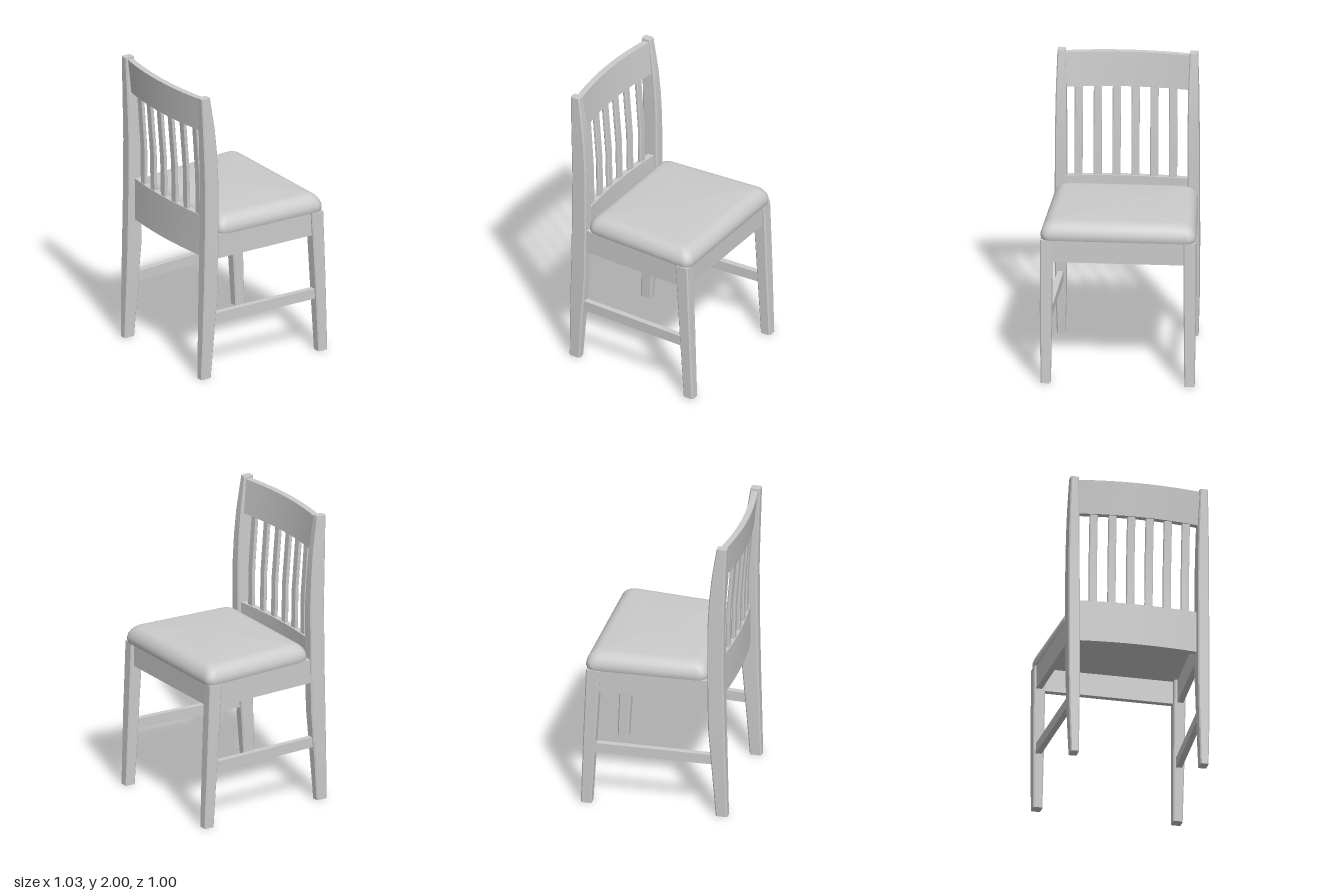
import * as THREE from 'three';
import { toCreasedNormals } from 'three/addons/utils/BufferGeometryUtils.js';

const grey = new THREE.MeshStandardMaterial({ color: 0xcccccc });

// Solid skinned over equal-length rings of [x, y, z], capped at both ends
function loft(rings, crease = 0.6) {
  const n = rings[0].length;
  const pts = rings.flat();
  const tris = [];
  for (let r = 0; r < rings.length - 1; r++) {
    for (let i = 0; i < n; i++) {
      const a = r * n + i, b = r * n + (i + 1) % n;
      tris.push([a, b, b + n], [a, b + n, a + n]);
    }
  }
  [0, rings.length - 1].forEach((r, end) => {
    const c = pts.length;
    pts.push([0, 1, 2].map((k) => rings[r].reduce((s, p) => s + p[k], 0) / n));
    for (let i = 0; i < n; i++) {
      const a = r * n + i, b = r * n + (i + 1) % n;
      tris.push(end ? [a, b, c] : [b, a, c]);
    }
  });
  // Turn the faces outward whatever the ring direction
  const v = pts.map((p) => new THREE.Vector3(...p));
  const volume = tris.reduce((s, [a, b, c]) => s + v[a].dot(v[b].clone().cross(v[c])), 0);
  if (volume < 0) tris.forEach((t) => t.reverse());
  const geo = new THREE.BufferGeometry();
  geo.setAttribute('position', new THREE.Float32BufferAttribute(pts.flat(), 3));
  geo.setIndex(tris.flat());
  return toCreasedNormals(geo, crease);
}

// Horizontal rectangle with small chamfered corners
function section(y, x0, x1, z0, z1, c = 0.008) {
  return [
    [x0 + c, y, z0], [x1 - c, y, z0], [x1, y, z0 + c], [x1, y, z1 - c],
    [x1 - c, y, z1], [x0 + c, y, z1], [x0, y, z1 - c], [x0, y, z0 + c],
  ];
}

export function createModel() {
  const chair = new THREE.Group();
  chair.name = 'chair';
  const add = (name, geo) => {
    const mesh = new THREE.Mesh(geo, grey);
    mesh.name = name;
    chair.add(mesh);
  };

  // Cushion: rounded trapezoid, domed over at the rim
  const outline = [];
  [[0.515, -0.48, -90], [0.475, 0.345, 0], [-0.475, 0.345, 90], [-0.515, -0.48, 180]].forEach(([x, z, start]) => {
    const r = 0.06;
    for (let i = 0; i <= 6; i++) {
      const a = THREE.MathUtils.degToRad(start + i * 15);
      outline.push([x - Math.sign(x) * r + r * Math.cos(a), z - Math.sign(z) * r + r * Math.sin(a)]);
    }
  });
  const seatRing = (inset, y) => outline.map(([x, z]) => [
    x * (1 - inset / 0.5), y, -0.067 + (z + 0.067) * (1 - inset / 0.412),
  ]);
  const seatRings = [seatRing(0.006, 1.0)];
  for (let i = 0; i <= 7; i++) {
    const a = (i / 7) * Math.PI / 2;
    seatRings.push(seatRing(0.09 * (1 - Math.cos(a)), 1.02 + 0.1 * Math.sin(a)));
  }
  add('seatCushion', loft(seatRings));

  // Curved back rails, swept across x; z is bowed toward the rear
  const rail = (y0, y1, zBottom, zTop, bow, depth) => {
    const rings = [];
    for (let i = 0; i <= 10; i++) {
      const x = -0.415 + 0.083 * i;
      const b = bow * (1 - (x / 0.415) ** 2);
      rings.push([
        [x, y0, zBottom + b], [x, y0, zBottom + depth + b],
        [x, y1, zTop + depth + b], [x, y1, zTop + b],
      ]);
    }
    return loft(rings);
  };
  add('lowerBackRail', rail(0.84, 1.13, 0.37, 0.37, 0.028, 0.042));
  add('topRail', rail(1.75, 1.985, 0.395, 0.418, 0.04, 0.042));

  // Back slats
  for (let i = 0; i < 6; i++) {
    const x = -0.302 + i * 0.125;
    const b = 1 - (x / 0.415) ** 2;
    const ring = (y, z) => section(y, x - 0.027, x + 0.027, z - 0.012, z + 0.012, 0.005);
    add('backSlat', loft([
      ring(1.1, 0.393 + 0.028 * b),
      ring(1.4, 0.395 + 0.032 * b),
      ring(1.78, 0.418 + 0.04 * b),
    ]));
  }

  // Rear posts as [y, inner x, outer x, front z, rear z]
  const post = [
    [0, 0.412, 0.467, 0.405, 0.485], [0.3, 0.405, 0.475, 0.383, 0.477], [0.65, 0.4, 0.478, 0.355, 0.468],
    [1.0, 0.4, 0.478, 0.35, 0.461], [1.4, 0.4, 0.476, 0.35, 0.459], [1.6, 0.402, 0.474, 0.36, 0.464],
    [1.77, 0.404, 0.471, 0.376, 0.47], [2.0, 0.411, 0.464, 0.41, 0.478],
  ];
  const frontLeg = [
    [0, 0.443, 0.508, -0.505, -0.432], [0.5, 0.437, 0.515, -0.487, -0.403], [1.0, 0.435, 0.515, -0.468, -0.373],
  ];
  // Box running front to back, following the taper of the seat
  const sideBar = (y0, y1, zBack, xBack, zFront, xFront, w) => [[zBack, xBack], [zFront, xFront]]
    .map(([z, x]) => [[x - w, y0, z], [x, y0, z], [x, y1, z], [x - w, y1, z]]);

  // Mirrored parts on each side
  for (const [side, s] of [['left', 1], ['right', -1]]) {
    const mirror = (rings) => rings.map((r) => r.map(([x, y, z]) => [s * x, y, z]));
    add(side + 'RearPost', loft(mirror(post.map((p) => section(...p)))));
    add(side + 'FrontLeg', loft(mirror(frontLeg.map((p) => section(...p)))));
    add(side + 'Apron', loft(mirror(sideBar(0.84, 1.005, 0.37, 0.466, -0.42, 0.5, 0.04))));
    add(side + 'Stretcher', loft(mirror(sideBar(0.38, 0.45, 0.39, 0.46, -0.44, 0.497, 0.04))));
  }

  // Front apron between the legs
  const apron = new THREE.BoxGeometry(0.9, 0.165, 0.04);
  apron.translate(0, 0.9225, -0.43);
  add('frontApron', apron);

  return chair;
}
